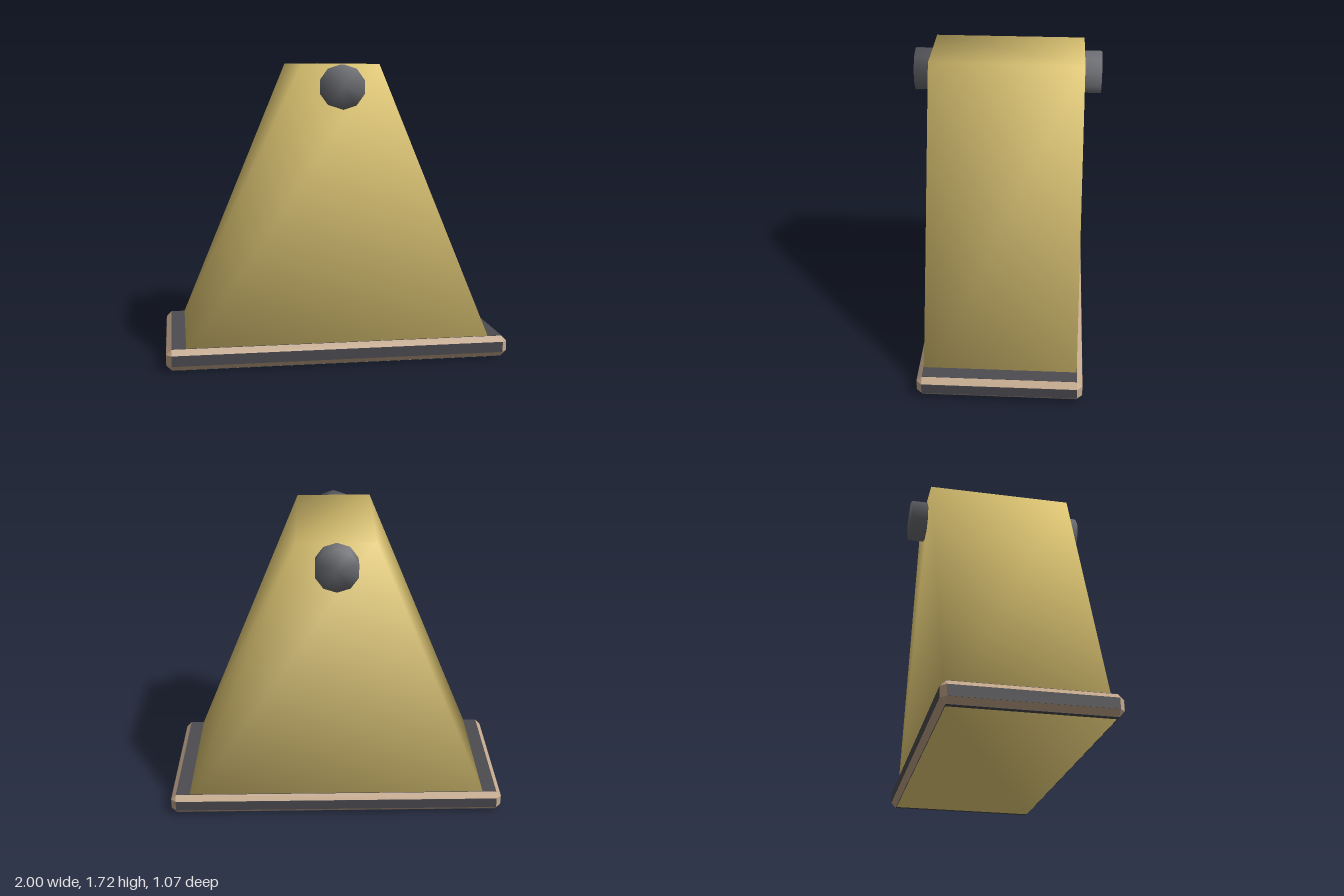
import * as THREE from 'three';
import { mergeVertices } from 'three/addons/utils/BufferGeometryUtils.js';
import { ConvexGeometry } from 'three/addons/geometries/ConvexGeometry.js';

const material = (name, color) => {
  const m = new THREE.MeshStandardMaterial({ color });
  m.name = name;
  return m;
};

const add = (group, name, geometry, mat) => {
  const mesh = new THREE.Mesh(geometry, mat);
  mesh.name = name;
  group.add(mesh);
  return mesh;
};

// Weld all corners and shade them softly, weighting each face by its corner angle
function soften(geometry) {
  geometry.deleteAttribute('normal');
  geometry.deleteAttribute('uv');
  const g = mergeVertices(geometry);
  const pos = g.getAttribute('position');
  const normals = Array.from({ length: pos.count }, () => new THREE.Vector3());
  const index = g.index.array;
  for (let i = 0; i < index.length; i += 3) {
    const ids = [index[i], index[i + 1], index[i + 2]];
    const p = ids.map(id => new THREE.Vector3().fromBufferAttribute(pos, id));
    const face = new THREE.Triangle(...p).getNormal(new THREE.Vector3());
    for (let k = 0; k < 3; k++) {
      const toNext = p[(k + 1) % 3].clone().sub(p[k]);
      const toLast = p[(k + 2) % 3].clone().sub(p[k]);
      normals[ids[k]].addScaledVector(face, toNext.angleTo(toLast));
    }
  }
  const flat = normals.flatMap(n => n.normalize().toArray());
  g.setAttribute('normal', new THREE.Float32BufferAttribute(flat, 3));
  return g;
}

// Box narrowed in x towards its top, standing on y = 0
function taperedBox(bottomX, topX, height, depth) {
  const g = new THREE.BoxGeometry(2, height, depth);
  g.translate(0, height / 2, 0);
  const pos = g.getAttribute('position');
  for (let i = 0; i < pos.count; i++) {
    pos.setX(i, pos.getX(i) * (pos.getY(i) > 0 ? topX : bottomX));
  }
  return g;
}

// Block whose twelve edges are chamfered
function chamferedBlock(x, y, z, c) {
  const points = [];
  for (const i of [-1, 1]) for (const j of [-1, 1]) for (const k of [-1, 1]) {
    points.push(
      new THREE.Vector3(i * x, j * (y - c), k * (z - c)),
      new THREE.Vector3(i * (x - c), j * y, k * (z - c)),
      new THREE.Vector3(i * (x - c), j * (y - c), k * z));
  }
  return new ConvexGeometry(points);
}

export function createModel() {
  const model = new THREE.Group();
  model.name = 'taperedBlock';
  const gold = material('gold', 0xdcc472);
  const darkGrey = material('dark grey', 0x4c4c51);
  const grey = material('grey', 0x6a6b70);
  const tan = material('tan', 0xc4a88c);

  // Body passes through the base and shows on the underside
  add(model, 'body', soften(taperedBox(0.937, 0.22, 1.72, 0.87)), gold);

  // Base: tan chamfers around dark flat panels
  const base = new THREE.Group();
  base.name = 'base';
  base.position.y = 0.0635;
  model.add(base);
  const X = 0.998, Y = 0.0605, Z = 0.468, c = 0.03, e = 0.0015;
  add(base, 'baseTrim', chamferedBlock(X, Y, Z, c), tan);
  const panel = (name, x, y, z) => add(base, name, new THREE.BoxGeometry(2 * x, 2 * y, 2 * z), darkGrey);
  panel('endPanels', X + e, Y - c, Z - c);
  panel('topAndBottomPanels', X - c, Y + e, Z - c);
  panel('frontAndBackPanels', X - c, Y - c, Z + e);

  // Ten-sided pin through the top with softly shaded ends
  const pin = soften(new THREE.CylinderGeometry(0.124, 0.124, 1.066, 10));
  pin.rotateX(Math.PI / 2);
  add(model, 'pin', pin, grey).position.y = 1.596;

  return model;
}
